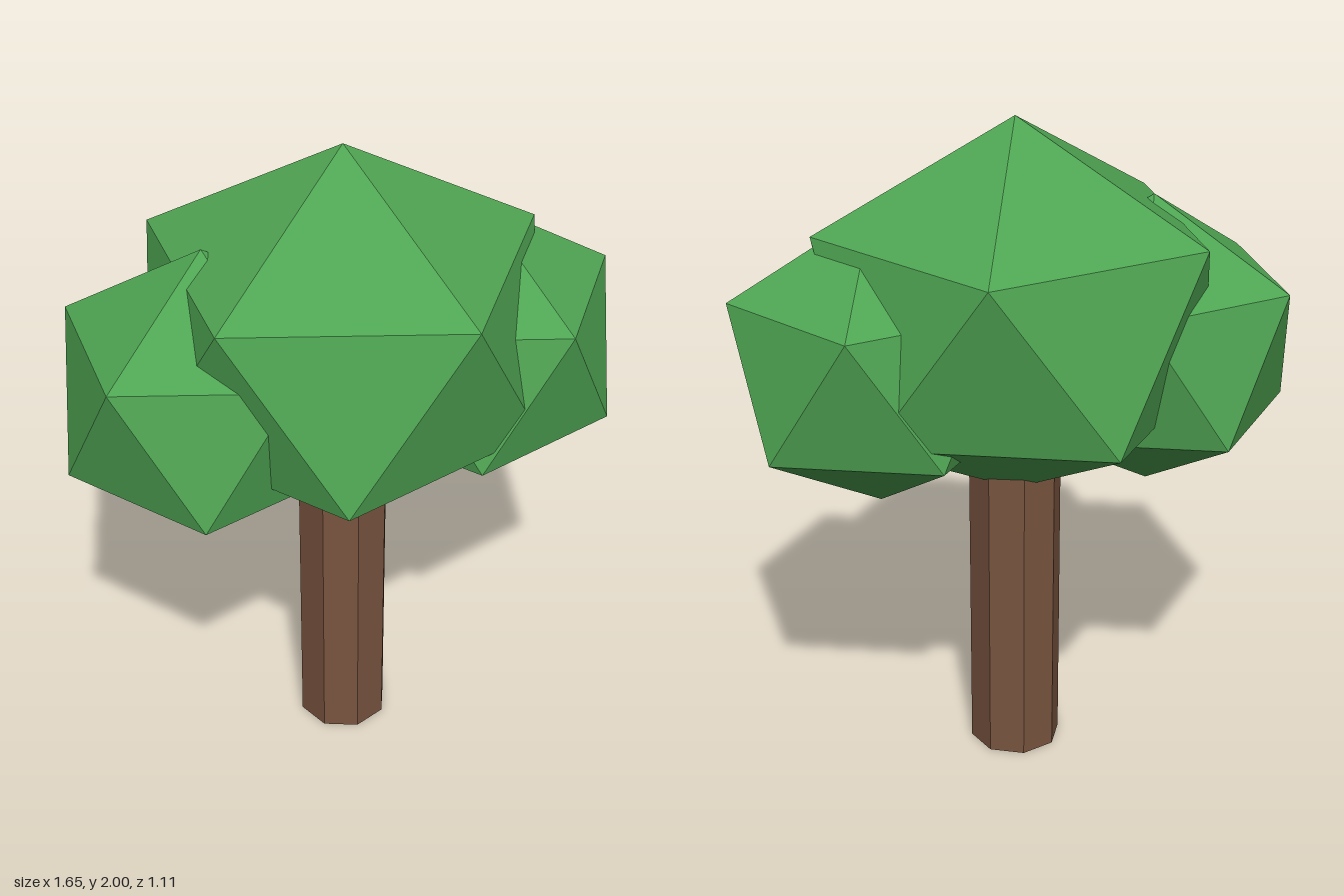
import * as THREE from 'three';
import { ConvexGeometry } from 'three/addons/geometries/ConvexGeometry.js';

// Twenty-sided crown standing on a point: two staggered rings of five plus both poles.
function crownGeometry(ringRadius, height) {
  const points = [new THREE.Vector3(0, height, 0), new THREE.Vector3(0, -height, 0)];
  const ringY = height / Math.sqrt(5);
  for (let i = 0; i < 10; i++) {
    const a = (i * Math.PI) / 5;
    const y = i % 2 === 0 ? ringY : -ringY;
    points.push(new THREE.Vector3(ringRadius * Math.cos(a), y, ringRadius * Math.sin(a)));
  }
  return new ConvexGeometry(points);
}

export function createModel() {
  const tree = new THREE.Group();
  tree.name = 'tree';

  const leaves = new THREE.MeshStandardMaterial({ color: 0x4fa553 });
  leaves.name = 'leaf green';
  const bark = new THREE.MeshStandardMaterial({ color: 0x79543f });
  bark.name = 'bark brown';
  leaves.flatShading = bark.flatShading = true;

  const add = (name, geometry, material, x, y) => {
    const mesh = new THREE.Mesh(geometry, material);
    mesh.name = name;
    mesh.position.set(x, y, 0);
    tree.add(mesh);
  };

  // Eight-sided trunk, its top buried in the foliage
  const trunkHeight = 1.1;
  add('trunk', new THREE.CylinderGeometry(0.14, 0.14, trunkHeight, 8), bark, 0, trunkHeight / 2);

  // Large middle crown with a smaller one on each side
  add('middleCrown', crownGeometry(0.582, 0.57), leaves, 0, 1.43);
  const sideCrown = crownGeometry(0.418, 0.447);
  add('leftCrown', sideCrown, leaves, 0.406, 1.307);
  add('rightCrown', sideCrown, leaves, -0.406, 1.307);

  return tree;
}
